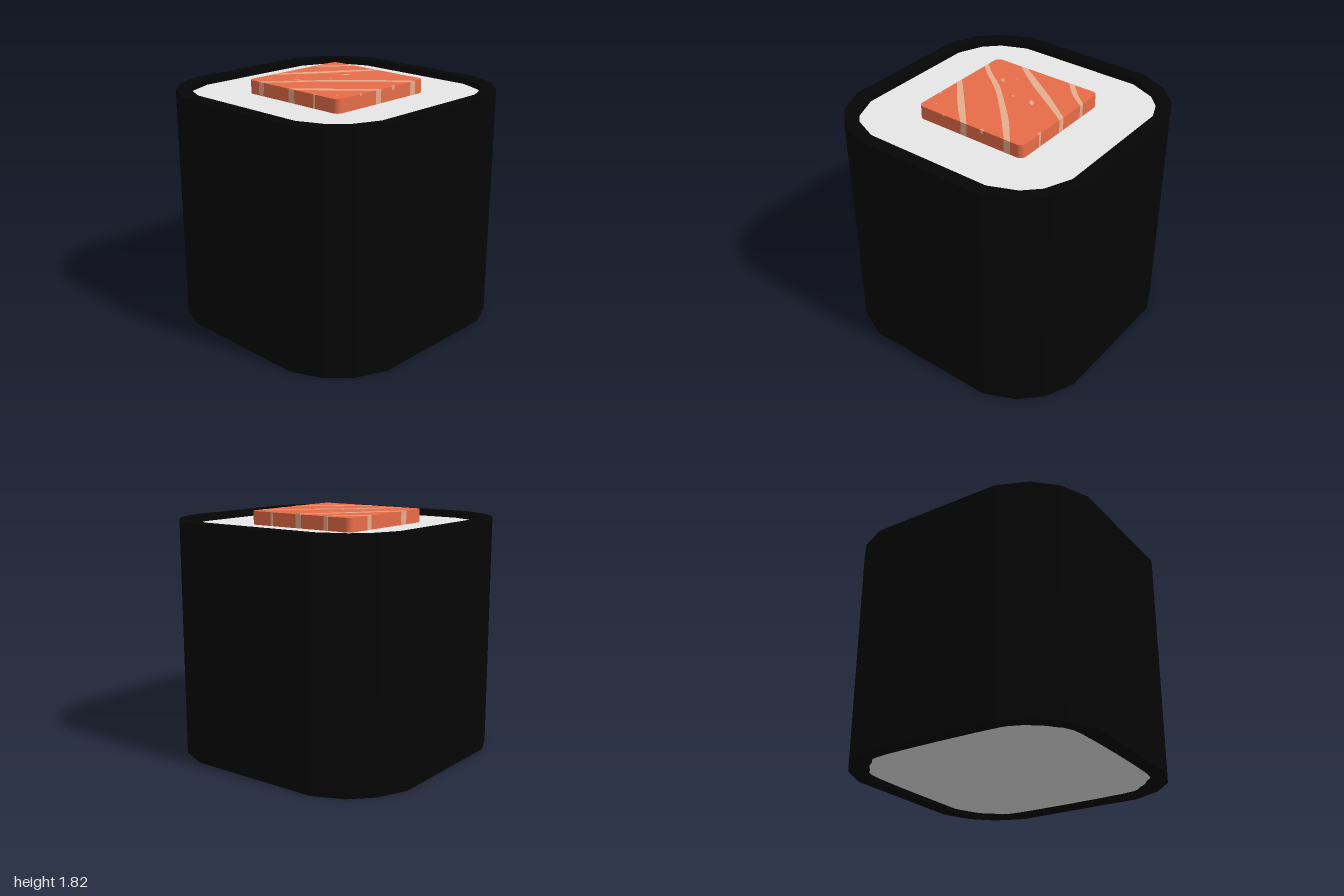
import * as THREE from 'three';

const material = (name, color) => {
  const m = new THREE.MeshStandardMaterial({ color });
  m.name = name;
  return m;
};

// Extrude an outline given in x, z upwards from y0 to y1
function slab(name, shape, y0, y1, mat) {
  const geo = new THREE.ExtrudeGeometry(shape, { depth: y1 - y0, bevelEnabled: false, curveSegments: 6 });
  geo.rotateX(-Math.PI / 2);
  geo.translate(0, y0, 0);
  const mesh = new THREE.Mesh(geo, mat);
  mesh.name = name;
  return mesh;
}

const v = (x, z) => new THREE.Vector2(x, -z);

// Square outline whose corners are cut by three facets each
function facetedSquare([a, b, c, d]) {
  const pts = [];
  for (let i = 0; i < 4; i++) {
    for (const [x, z] of [[a, b], [c, d], [d, c], [b, a]]) {
      pts.push(v(x, z).rotateAround(new THREE.Vector2(), -i * Math.PI / 2));
    }
  }
  return pts;
}

function roundedSquare(h, r) {
  const s = new THREE.Shape();
  for (let i = 0; i < 4; i++) {
    const a = i * Math.PI / 2;
    const sx = i === 0 || i === 3 ? 1 : -1, sy = i < 2 ? 1 : -1;
    s.absarc(sx * (h - r), sy * (h - r), r, a, a + Math.PI / 2, false);
  }
  s.closePath();
  return s;
}

export function createModel() {
  const group = new THREE.Group();
  group.name = 'sushiRoll';
  const seaweed = material('seaweed black', 0x050505);
  const rice = material('rice white', 0xffffff);
  const salmon = material('salmon orange', 0xff7851);
  const fat = material('salmon stripe', 0xffc09c);

  const rimTop = 1.77, recess = 0.047, fishTop = 1.824;
  const inner = [0.893, 0.5, 0.81, 0.7];

  // Seaweed wrapper: open tube, the hole wound against the outline so its wall faces inwards
  const wrap = new THREE.Shape(facetedSquare([1, 0.525, 0.902, 0.75]));
  wrap.holes.push(new THREE.Path(facetedSquare(inner).reverse()));
  group.add(slab('seaweedWrap', wrap, 0, rimTop, seaweed));

  // Rice core, sunk a little at the top
  const coreBase = 0.03, riceBase = 0.014;
  group.add(slab('riceCore', new THREE.Shape(facetedSquare(inner)), coreBase, rimTop - recess, rice));

  // Underside: softly rounded rice face, nearly flush, inside a narrow seaweed ledge
  const corners = facetedSquare([0.852, 0.475, 0.77, 0.665]);
  const softOutline = new THREE.SplineCurve([...corners, corners[0]]).getPoints(64).slice(0, -1);
  group.add(slab('riceUnderside', new THREE.Shape(softOutline), riceBase, coreBase, rice));
  const ledge = new THREE.Shape(facetedSquare(inner));
  ledge.holes.push(new THREE.Path([...softOutline].reverse()));
  group.add(slab('seaweedLedge', ledge, riceBase, coreBase, seaweed));

  // Salmon filling
  const fishBase = rimTop - recess - 0.01;
  group.add(slab('salmonFilling', roundedSquare(0.457, 0.045), fishBase, fishTop, salmon));

  // Fat stripes: upper edge and lower edge, running over the top and down the sides
  const e = 0.458, fatTop = fishTop + 0.0008;
  const stripes = [
    [[[0.255, -e], [0.35, -0.355], [e, -0.262]], [[0.205, -e], [0.315, -0.335], [e, -0.225]]],
    [[[-0.175, -e], [0.03, -0.325], [0.25, -0.175], [e, -0.02]],
      [[-0.24, -e], [0, -0.275], [0.22, -0.13], [e, 0.028]]],
    [[[-e, -0.34], [-0.345, -0.24], [-0.165, -0.105], [-0.005, 0.05], [0.185, 0.245], [0.358, e]],
      [[-e, -0.295], [-0.375, -0.215], [-0.195, -0.075], [-0.035, 0.08], [0.145, 0.275], [0.305, e]]],
    [[[-e, -0.025], [-0.295, 0.15], [-0.135, 0.325], [-0.016, e]],
      [[-e, 0.03], [-0.335, 0.18], [-0.175, 0.355], [-0.07, e]]],
  ];
  const edge = (pts) => new THREE.SplineCurve(pts.map(([x, z]) => v(x, z))).getPoints(16);
  for (const [upper, lower] of stripes) {
    const shape = new THREE.Shape([...edge(upper), ...edge(lower).reverse()]);
    group.add(slab('fatStripe', shape, fishBase, fatTop, fat));
  }

  // Small flecks: x, z, half length, half width, bottom (those at the edge run down the side)
  const skin = fishTop - 0.004;
  const flecks = [
    [-0.21, -0.2, 0.026, 0.013, skin], [-0.005, -0.05, 0.013, 0.01, skin],
    [0.16, -0.055, 0.035, 0.015, skin], [-0.135, -0.275, 0.009, 0.005, skin],
    [-0.37, 0.365, 0.009, 0.005, skin], [-0.45, 0.23, 0.009, 0.014, fishBase],
    [0.45, 0.255, 0.009, 0.018, fishBase], [0.115, 0.451, 0.02, 0.008, fishTop - 0.025],
    [-0.225, 0.454, 0.012, 0.005, fishTop - 0.01],
  ];
  for (const [x, z, a, b, bottom] of flecks) {
    const shape = new THREE.Shape();
    shape.absellipse(x, -z, a, b, 0, Math.PI * 2, false, a > 0.024 ? -0.8 : 0);
    group.add(slab('fatFleck', shape, bottom, fatTop, fat));
  }
  return group;
}
